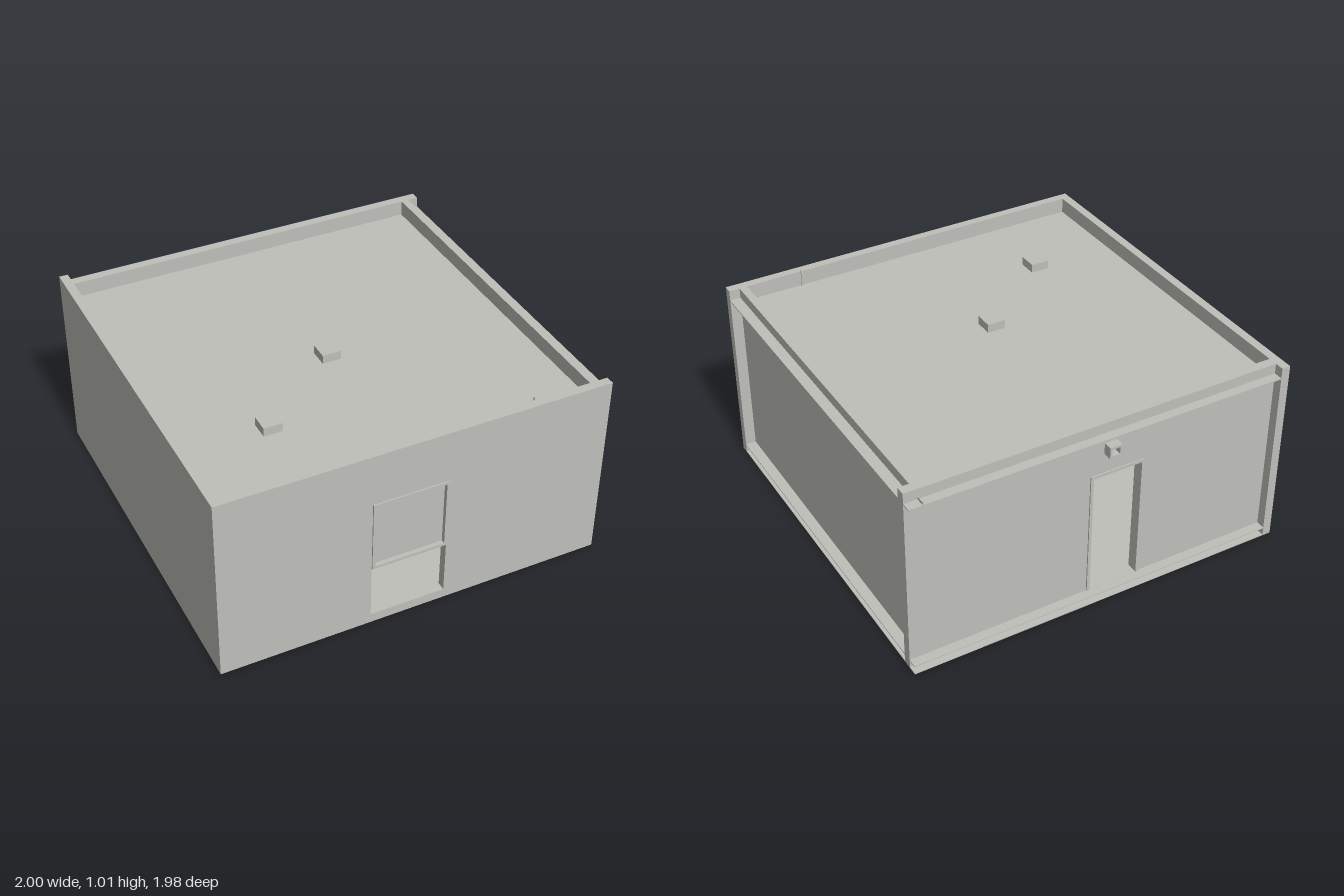
import * as THREE from 'three';

const concrete = new THREE.MeshStandardMaterial({ color: 0xbfbfba });
concrete.name = 'concreteGrey';

export function createModel() {
  const model = new THREE.Group();
  model.name = 'building';

  // Box given by its limits on each axis
  const block = (name, [x0, x1], [y0, y1], [z0, z1]) => {
    const mesh = new THREE.Mesh(new THREE.BoxGeometry(x1 - x0, y1 - y0, z1 - z0), concrete);
    mesh.position.set((x0 + x1) / 2, (y0 + y1) / 2, (z0 + z1) / 2);
    mesh.name = name;
    model.add(mesh);
  };

  // Upright panel in the xy plane with an optional rectangular hole
  const trace = (path, [x0, x1], [y0, y1]) =>
    path.moveTo(x0, y0).lineTo(x1, y0).lineTo(x1, y1).lineTo(x0, y1).closePath();
  const panel = (name, xs, ys, [z0, z1], holeX, holeY) => {
    const shape = trace(new THREE.Shape(), xs, ys);
    shape.holes.push(trace(new THREE.Path(), holeX, holeY));
    const geo = new THREE.ExtrudeGeometry(shape, { depth: z1 - z0, bevelEnabled: false });
    const mesh = new THREE.Mesh(geo, concrete);
    mesh.position.z = z0;
    mesh.name = name;
    model.add(mesh);
  };

  // Outer walls
  panel('frontWall', [-1, 1], [0, 1], [0.94, 0.985], [-0.235, 0.155], [0.05, 0.725]);
  panel('backWall', [-0.955, 1], [0, 1], [-0.942, -0.893], [-0.235, 0.06], [0.05, 0.725]);
  block('rightWall', [-1, -0.955], [0, 1], [-0.99, 0.94]);
  block('leftWall', [0.905, 0.945], [0, 1], [-0.893, 0.94]);

  // Floor: base sheet and raised sheet, both reaching past the set-back walls
  block('baseSheet', [-1, 1], [0, 0.005], [-0.99, 0.985]);
  block('floorSheet', [-0.99, 1], [0.045, 0.05], [-0.99, 0.98]);

  // Ledges outside the two set-back walls
  block('leftLedge', [0.945, 1], [0.94, 0.946], [-0.893, 0.94]);
  block('backLedge', [-0.955, 1], [0.94, 0.946], [-0.99, -0.942]);
  block('ledgeClip', [0.926, 0.932], [0.946, 0.96], [-0.99, -0.942]);

  // Sunken roof with two vents and a thin rod
  block('roof', [-0.955, 0.905], [0.9, 0.92], [-0.893, 0.94]);
  for (const [x, z] of [[-0.037, 0.118], [-0.52, 0.505]]) {
    block('roofVent', [x - 0.048, x + 0.048], [0.92, 0.965], [z - 0.048, z + 0.048]);
  }
  block('roofRod', [0.607, 0.613], [0.92, 1.01], [0.93, 0.936]);

  // Half-raised front shutter in its frame
  panel('shutterFrame', [-0.235, 0.155], [0.34, 0.725], [0.945, 0.992], [-0.22, 0.14], [0.355, 0.71]);
  block('shutterPanel', [-0.22, 0.14], [0.355, 0.71], [0.96, 0.97]);

  // Back doorway trim
  panel('doorFrame', [-0.235, 0.06], [0.05, 0.725], [-0.949, -0.89], [-0.217, 0.045], [0.051, 0.71]);

  // Hollow lamp housing above the back door
  panel('lampHousing', [-0.075, -0.01], [0.83, 0.89], [-0.988, -0.942], [-0.063, -0.022], [0.842, 0.878]);

  // Low counter behind the shutter
  block('counter', [-0.955, 0.055], [0.05, 0.245], [0.5, 0.68]);

  return model;
}
